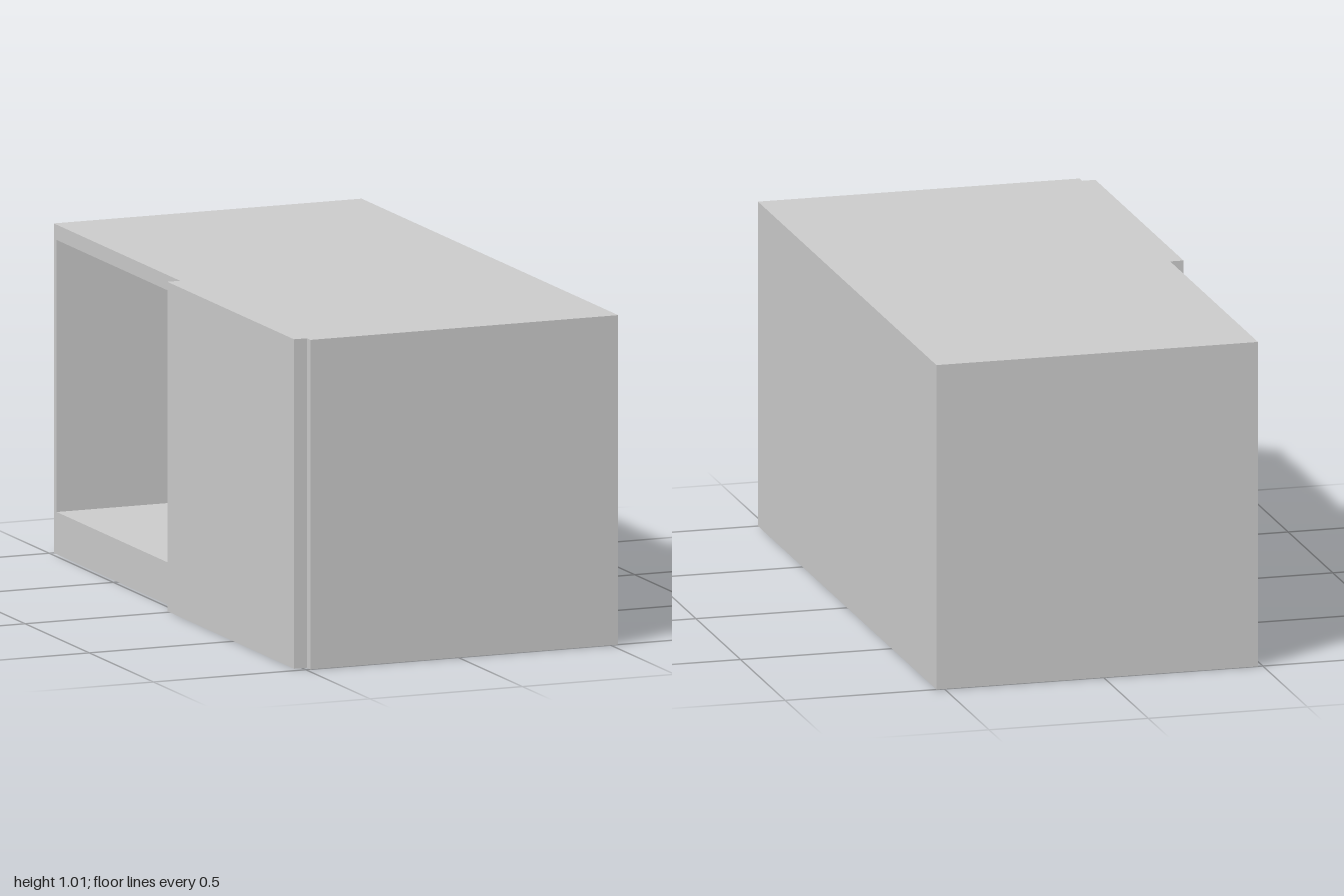
import * as THREE from 'three';

const material = new THREE.MeshStandardMaterial({ color: 0xcccccc });

// Outer faces of the container
const L = -0.485, R = 0.525, BACK = -1, FRONT = 1, TOP = 1.015;
// Inner faces of the hollow room
const IN = { left: -0.425, right: 0.405, back: -0.977, front: 0.982, floor: 0.13, ceiling: 0.968 };
// Doorway in the side wall starts at the back wall and ends here
const DOORWAY_END = -0.093;

// Extrudes a plan outline of [x, z] points from y0 up to y1
function slab(name, points, y0, y1) {
  const shape = new THREE.Shape(points.map(([x, z]) => new THREE.Vector2(x, z)));
  const geometry = new THREE.ExtrudeGeometry(shape, { depth: y1 - y0, bevelEnabled: false });
  geometry.rotateX(Math.PI / 2).translate(0, y1, 0);
  const mesh = new THREE.Mesh(geometry, material);
  mesh.name = name;
  return mesh;
}

const rect = (x0, x1, z0, z1) => [[x0, z0], [x1, z0], [x1, z1], [x0, z1]];

export function createModel() {
  const group = new THREE.Group();
  group.name = 'container';

  // Floor and roof close the room from below and above
  const plan = rect(L, R, BACK, FRONT);
  group.add(slab('floor', plan, 0, IN.floor));
  group.add(slab('roof', plan, IN.ceiling, TOP));

  // Walls as one C-shaped outline, left open at the doorway
  group.add(slab('walls', [
    [L, BACK], [R, BACK], [R, FRONT], [L, FRONT],
    [L, DOORWAY_END], [IN.left, DOORWAY_END],
    [IN.left, IN.front], [IN.right, IN.front], [IN.right, IN.back], [L, IN.back],
  ], IN.floor, IN.ceiling));

  // Sliding door, pushed open along the outside of the wall
  group.add(slab('slidingDoor', rect(-0.527, L, -0.015, 0.972), 0, TOP));

  return group;
}
